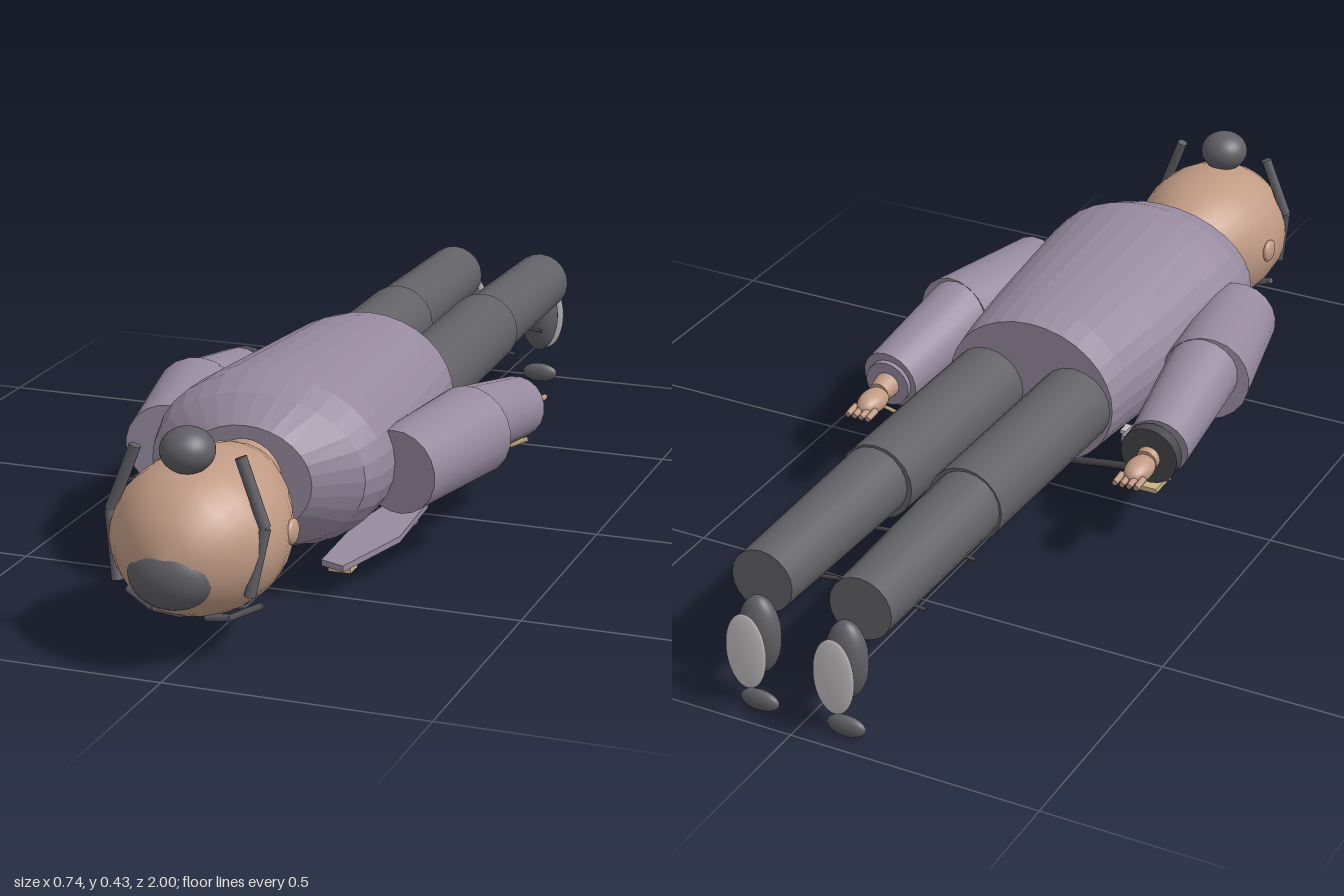
import * as THREE from 'three';

const mat = (name, color) => {
  const m = new THREE.MeshStandardMaterial({ color, side: THREE.DoubleSide });
  m.name = name;
  return m;
};

export function createModel() {
  const group = new THREE.Group();
  const cloth = mat('lilac cloth', 0x978a9f);
  const trouser = mat('dark grey cloth', 0x626165);
  const hair = mat('charcoal hair', 0x5f5e64);
  const skin = mat('skin', 0xc09a84);
  const pale = mat('pale grey', 0xc4c0c2);
  const gold = mat('gold', 0xc9b483);
  const black = mat('dark strap', 0x48474c);
  const V = (x, y, z) => new THREE.Vector3(x, y, z);

  const add = (name, geo, material, pos = [0, 0, 0]) => {
    const m = new THREE.Mesh(geo, material);
    m.name = name;
    m.position.set(...pos);
    group.add(m);
    return m;
  };
  const ball = (name, material, pos, radii) => {
    const m = add(name, new THREE.SphereGeometry(1, 28, 20), material, pos);
    m.scale.set(...radii);
    return m;
  };
  const box = (name, material, pos, size) => add(name, new THREE.BoxGeometry(...size), material, pos);
  // Tapered cylinder running from point a to point b
  const limb = (name, material, a, b, ra, rb, sides = 20) => {
    const d = b.clone().sub(a);
    const m = add(name, new THREE.CylinderGeometry(rb, ra, d.length(), sides), material);
    m.position.copy(a).addScaledVector(d, 0.5);
    m.quaternion.setFromUnitVectors(V(0, 1, 0), d.normalize());
    return m;
  };
  // Elliptical cross-sections [z, rx, yLow, yHigh], capped at both ends
  const loft = (name, material, rings, flat, n = 32) => {
    const p = [], idx = [];
    for (const [z, rx, lo, hi] of rings)
      for (let i = 0; i < n; i++) {
        const t = (i / n) * Math.PI * 2;
        p.push(rx * Math.cos(t), (lo + hi) / 2 + ((hi - lo) / 2) * Math.sin(t), z);
      }
    for (let r = 0; r < rings.length - 1; r++)
      for (let i = 0; i < n; i++) {
        const a = r * n + i, b = r * n + ((i + 1) % n);
        idx.push(a, b, a + n, b, b + n, a + n);
      }
    const last = (rings.length - 1) * n;
    for (let i = 1; i < n - 1; i++) idx.push(0, i + 1, i, last, last + i, last + i + 1);
    let g = new THREE.BufferGeometry();
    g.setAttribute('position', new THREE.Float32BufferAttribute(p, 3));
    g.setIndex(idx);
    if (flat) g = g.toNonIndexed();
    g.computeVertexNormals();
    return add(name, g, material);
  };

  // Torso and neck; the body lies face down with its head towards +z
  loft('torso', cloth, [
    [-0.06, 0.18, 0.085, 0.39], [0.0, 0.187, 0.083, 0.4], [0.14, 0.205, 0.08, 0.405],
    [0.42, 0.228, 0.078, 0.418], [0.48, 0.23, 0.08, 0.417], [0.54, 0.212, 0.1, 0.395],
    [0.6, 0.13, 0.145, 0.35],
  ], true);
  loft('neck', skin, [[0.56, 0.075, 0.16, 0.325], [0.66, 0.075, 0.16, 0.325]], false);

  // Head
  loft('head', skin, [
    [0.6, 0.072, 0.155, 0.315], [0.63, 0.095, 0.125, 0.328], [0.67, 0.12, 0.095, 0.342],
    [0.71, 0.138, 0.075, 0.352], [0.75, 0.152, 0.066, 0.358], [0.8, 0.16, 0.068, 0.359],
    [0.85, 0.157, 0.073, 0.356], [0.89, 0.143, 0.084, 0.347], [0.93, 0.115, 0.102, 0.326],
    [0.96, 0.083, 0.127, 0.294], [0.98, 0.052, 0.152, 0.264], [0.99, 0.005, 0.205, 0.215],
  ], false);
  ball('hairCap', hair, [0, 0.183, 0.942], [0.082, 0.066, 0.058]);
  ball('hairBun', hair, [0, 0.385, 0.865], [0.05, 0.042, 0.05]);
  ball('nose', skin, [0, 0.07, 0.755], [0.016, 0.016, 0.022]);
  box('mouth', black, [0, 0.082, 0.69], [0.05, 0.006, 0.008]);

  for (const s of [-1, 1]) {
    // Side locks, brows, eyes and ears
    const lock = [V(s * 0.1, 0.383, 0.865), V(s * 0.147, 0.26, 0.872), V(s * 0.126, 0.138, 0.895)];
    limb('sideLock', hair, lock[0], lock[1], 0.011, 0.011, 8);
    limb('sideLock', hair, lock[1], lock[2], 0.011, 0.011, 8);
    limb('brow', hair, V(s * 0.022, 0.068, 0.845), V(s * 0.075, 0.08, 0.86), 0.007, 0.007, 6);
    limb('brow', hair, V(s * 0.075, 0.08, 0.86), V(s * 0.13, 0.105, 0.845), 0.007, 0.007, 6);
    ball('eye', black, [s * 0.06, 0.08, 0.8], [0.018, 0.008, 0.009]);
    ball('ear', skin, [s * 0.156, 0.22, 0.765], [0.01, 0.024, 0.024]);

    // Sleeves and hands
    limb('upperArm', cloth, V(s * 0.232, 0.232, 0.425), V(s * 0.284, 0.236, 0.15), 0.081, 0.09);
    limb('forearm', cloth, V(s * 0.275, 0.25, 0.16), V(s * 0.298, 0.212, -0.1), 0.074, 0.062);
    limb('wrist', skin, V(s * 0.296, 0.21, -0.09), V(s * 0.296, 0.205, -0.15), 0.03, 0.022);
    ball('hand', skin, [s * 0.295, 0.2, -0.175], [0.027, 0.023, 0.045]);
    for (let i = 0; i < 4; i++) {
      const x = s * (0.272 + i * 0.015);
      limb('finger', skin, V(x, 0.198, -0.205), V(x, 0.195, -0.238), 0.007, 0.006, 8);
    }

    // Trousers and shoes
    limb('thigh', trouser, V(s * 0.096, 0.234, -0.05), V(s * 0.095, 0.244, -0.512), 0.079, 0.077);
    limb('shin', trouser, V(s * 0.098, 0.246, -0.51), V(s * 0.101, 0.247, -0.912), 0.07, 0.063);
    for (const z of [-0.575, -0.765])
      limb('trouserCrease', black, V(s * 0.03, 0.19, z), V(s * 0.15, 0.175, z), 0.004, 0.004, 6);
    ball('shoe', hair, [s * 0.09, 0.158, -0.945], [0.042, 0.08, 0.032]);
    ball('sole', pale, [s * 0.09, 0.148, -0.993], [0.042, 0.078, 0.007]);
    ball('toeCap', hair, [s * 0.09, 0.021, -0.955], [0.04, 0.021, 0.014]);

    // Jacket flaps, chest pockets and belt halves
    const flap = new THREE.Shape([[0.11, 0.5], [0.16, 0.52], [0.205, 0.33], [0.19, 0.12], [0.12, 0.12], [0.1, 0.3]]
      .map(([x, z]) => new THREE.Vector2(s * x, z)));
    const flapGeo = new THREE.ExtrudeGeometry(flap, { depth: 0.012, bevelEnabled: false });
    flapGeo.rotateX(Math.PI / 2);
    add('jacketFlap', flapGeo, cloth, [0, 0.07, 0]);
    box('pocket', cloth, [s * 0.14, 0.047, 0.21], [0.08, 0.02, 0.12]);
    box('pocketFlap', cloth, [s * 0.14, 0.04, 0.25], [0.085, 0.01, 0.035]);
    ball('pocketButton', black, [s * 0.117, 0.044, 0.275], [0.005, 0.008, 0.005]);
    limb('belt', black, V(0, 0.06, 0), V(s * 0.198, 0.088, 0), 0.009, 0.009, 4);
  }

  // Front details and cuff trim
  box('buckle', pale, [0, 0.055, 0], [0.046, 0.016, 0.03]);
  limb('frontSeam', black, V(0, 0.076, 0.05), V(0, 0.076, 0.46), 0.004, 0.004, 6);
  box('namePlate', pale, [-0.105, 0.031, 0.22], [0.068, 0.008, 0.03]);
  box('badge', gold, [0.13, 0.043, 0.44], [0.045, 0.02, 0.04]);
  limb('watchBand', black, V(-0.296, 0.21, -0.113), V(-0.296, 0.209, -0.137), 0.06, 0.06);
  limb('cuff', cloth, V(0.296, 0.21, -0.1), V(0.296, 0.209, -0.115), 0.048, 0.048);
  box('cuffBar', gold, [-0.293, 0.132, -0.11], [0.038, 0.01, 0.05]);
  for (const s of [-1, 1])
    for (const t of [-1, 1])
      limb('cuffChevron', gold, V(s * 0.29, 0.133, -0.09), V(s * 0.29 + t * 0.035, 0.148, -0.1), 0.005, 0.005, 4);
  return group;
}
